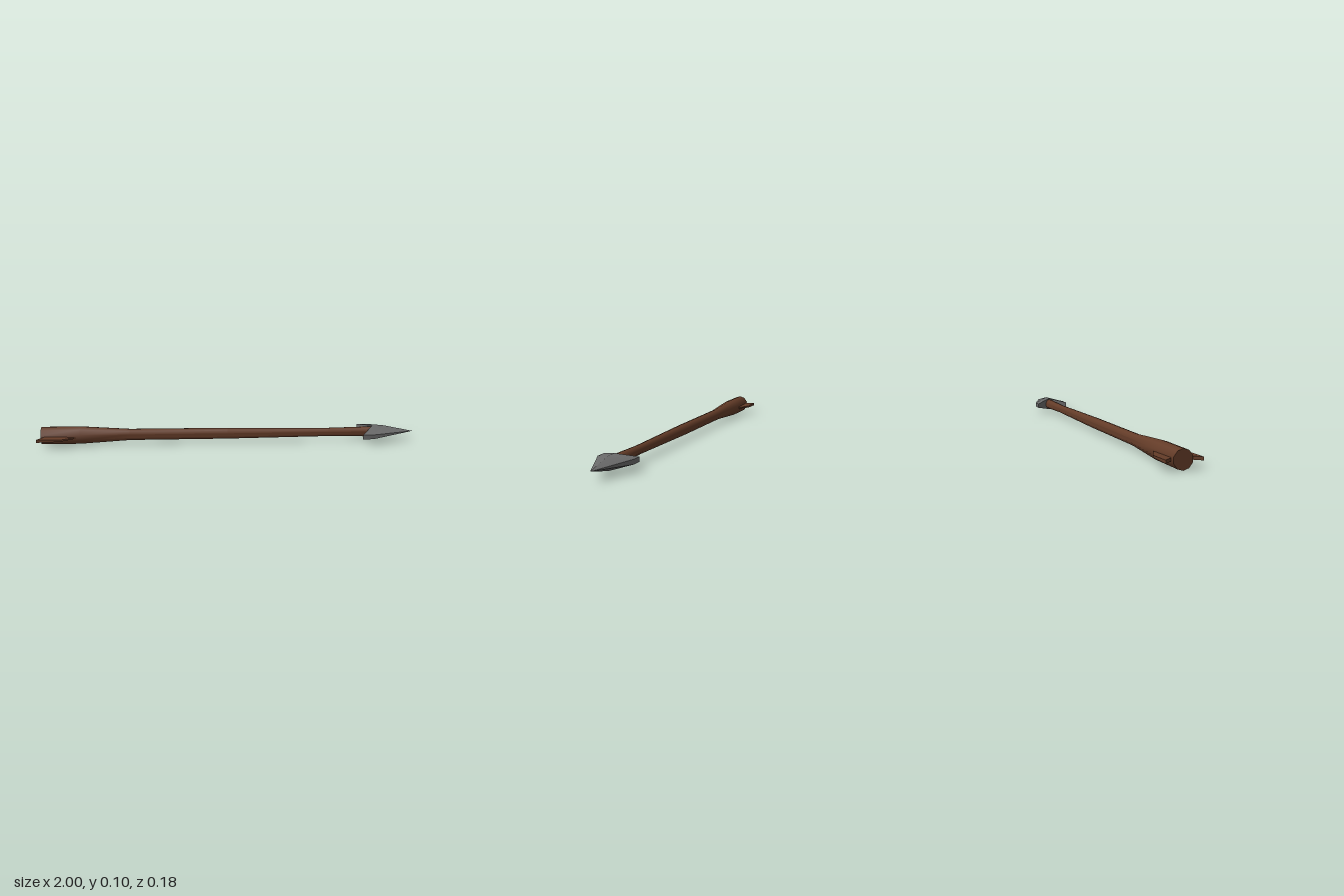
import * as THREE from 'three';
import { toCreasedNormals } from 'three/addons/utils/BufferGeometryUtils.js';

const AXIS_Y = 0.05; // height of the arrow's centre line

// Geometry from named corners and triangles; corners are wound outward
function fromFaces(corners, faces) {
  const pos = faces.flatMap((f) => [...f].flatMap((k) => corners[k]));
  const geo = new THREE.BufferGeometry();
  geo.setAttribute('position', new THREE.Float32BufferAttribute(pos, 3));
  return toCreasedNormals(geo, 0.7);
}

export function createModel() {
  const wood = new THREE.MeshStandardMaterial({ color: 0x643c28 });
  const steel = new THREE.MeshStandardMaterial({ color: 0x6a6a6a });
  const model = new THREE.Group();
  model.name = 'arrow';

  const add = (name, geo, mat) => {
    const mesh = new THREE.Mesh(geo, mat);
    mesh.name = name;
    mesh.position.y = AXIS_Y;
    model.add(mesh);
  };

  // Ten-sided shaft: [radius, x] from the thick tail to the head
  const profile = [
    [0, -0.985], [0.048, -0.985], [0.048, -0.78], [0.031, -0.52],
    [0.03, 0], [0.023, 0.54], [0.028, 0.78], [0, 0.79],
  ].map(([r, x]) => new THREE.Vector2(r, x));
  const shaft = new THREE.LatheGeometry(profile, 10, Math.PI / 2).rotateZ(-Math.PI / 2);
  add('shaft', toCreasedNormals(shaft, 0.9), wood);

  // Barbed head: upper-case corners are on top, lower-case ones below
  const head = { T: [1, 0, 0] };
  const levels = [['A', 0.715, 0.012, 0.09], ['B', 0.77, 0.012, 0.09],
    ['C', 0.78, 0.034, 0], ['D', 0.84, 0.034, 0],
    ['E', 0.715, 0.012, -0.09], ['F', 0.77, 0.012, -0.09]];
  for (const [k, x, y, z] of levels) {
    head[k] = [x, y, z];
    head[k.toLowerCase()] = [x, -y, z];
  }
  add('arrowhead', fromFaces(head, [
    'CAB', 'CBD', 'DBT', 'CFE', 'CDF', 'DTF', // top
    'cba', 'cdb', 'dTb', 'cef', 'cfd', 'dfT', // underside
    'Aab', 'AbB', 'BbT', 'Efe', 'EFf', 'FTf', // edges
    'Cca', 'CaA', 'Cec', 'CEe', // notched back
  ]), steel);

  // Two flat fletchings, thickest at the tail
  for (const side of [1, -1]) {
    const c = {};
    for (const [k, x, y, z] of [['A', -0.95, 0.008, 0.03], ['B', -1, 0.008, 0.09],
      ['C', -0.88, 0.005, 0.09], ['D', -0.77, 0.003, 0.03]]) {
      c[k] = [x, y, z * side];
      c[k.toLowerCase()] = [x, -y, z * side];
    }
    const faces = ['ABC', 'ACD', 'acb', 'adc', 'Aab', 'AbB', 'Bbc', 'BcC', 'Ccd', 'CdD'];
    add(side > 0 ? 'frontFletching' : 'backFletching',
      fromFaces(c, side > 0 ? faces : faces.map((f) => [...f].reverse().join(''))), wood);
  }
  return model;
}
